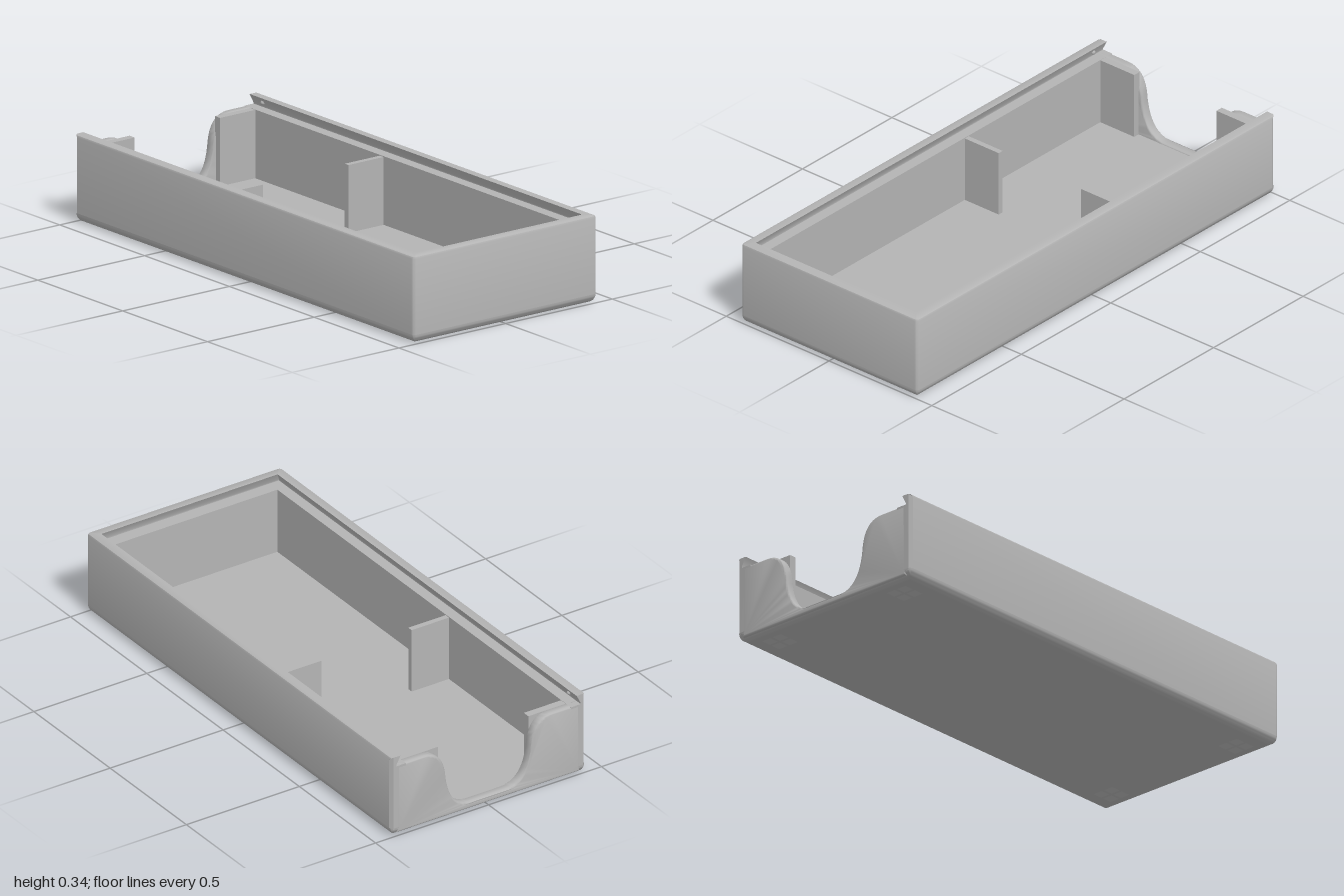
import * as THREE from 'three';
import { toCreasedNormals } from 'three/addons/utils/BufferGeometryUtils.js';

const W = 0.43, L = 1, R = 0.015;      // half width, half length, vertical corner radius
const FLOOR = 0.032, LEDGE = 0.295;    // tray floor, lid ledge
const FILLET = 0.035;                  // rounding of the bottom edge

// Rounded corner k (0..3: back left, front left, front right, back right) at inset d
function corner(k, d, y, extra = 0) {
  const sx = k < 2 ? 1 : -1, sz = k === 1 || k === 2 ? 1 : -1;
  const r = Math.max(0, R - d), pts = [];
  for (let i = 0; i <= 5; i++) {
    const a = (k - 1 + i / 5) * Math.PI / 2;
    pts.push([sx * (W - d - r) + r * Math.cos(a), y, sz * (L - d - extra - r) + r * Math.sin(a)]);
  }
  return pts;
}

// Skin over rows of points, with optional end caps given as index triples of rows
function skin(rows, closeRows, closePath, caps = []) {
  const n = rows[0].length, m = rows.length, index = [];
  for (let i = 0; i < (closeRows ? m : m - 1); i++)
    for (let j = 0; j < (closePath ? n : n - 1); j++) {
      const i2 = (i + 1) % m, j2 = (j + 1) % n;
      const a = i * n + j, b = i2 * n + j, c = i2 * n + j2, d = i * n + j2;
      index.push(a, b, c, a, c, d);
    }
  for (const [a, b, c] of caps) {
    index.push(a * n, b * n, c * n);
    index.push(c * n + n - 1, b * n + n - 1, a * n + n - 1);
  }
  const g = new THREE.BufferGeometry();
  g.setAttribute('position', new THREE.Float32BufferAttribute(rows.flat(2), 3));
  g.setIndex(index);
  return toCreasedNormals(g, 0.6);
}

export function createModel() {
  const model = new THREE.Group();
  const grey = new THREE.MeshStandardMaterial({ color: 0xb4b4b4, side: THREE.DoubleSide });
  grey.name = 'grey plastic';
  const add = (name, geometry, x = 0, y = 0, z = 0) => {
    const mesh = new THREE.Mesh(geometry, grey);
    mesh.name = name;
    mesh.position.set(x, y, z);
    model.add(mesh);
    return mesh;
  };
  const block = (name, x0, x1, y0, y1, z0, z1) =>
    add(name, new THREE.BoxGeometry(x1 - x0, y1 - y0, z1 - z0), (x0 + x1) / 2, (y0 + y1) / 2, (z0 + z1) / 2);

  // Rounded lower edge all the way round
  const baseRows = [];
  for (let i = 0; i <= 7; i++) {
    const a = i / 7 * Math.PI / 2;
    const d = FILLET * (1 - Math.sin(a)), y = FILLET * (1 - Math.cos(a));
    baseRows.push([0, 1, 2, 3].flatMap(k => corner(k, d, y)));
  }
  add('baseEdge', skin(baseRows, false, true));
  block('floor', -0.4, 0.4, FLOOR - 0.01, FLOOR, -0.97, 0.97);

  // Underside with four feet marks, each of 2 x 2 pyramid pockets
  const bw = W - FILLET, bl = L - FILLET, cell = 0.04, step = 0.026;
  const under = new THREE.Shape([[-bw, -bl], [bw, -bl], [bw, bl], [-bw, bl]].map(p => new THREE.Vector2(...p)));
  const pocket = new THREE.ConeGeometry(cell / Math.SQRT2, 0.012, 4, 1, true).toNonIndexed();
  pocket.rotateY(Math.PI / 4);
  pocket.computeVertexNormals();
  for (const sx of [-1, 1]) for (const sz of [-1, 1])
    for (const ix of [-1, 1]) for (const iz of [-1, 1]) {
      const x = sx * 0.31 + ix * step, z = sz * 0.9 + iz * step, h = cell / 2;
      under.holes.push(new THREE.Path([[x - h, z - h], [x - h, z + h], [x + h, z + h], [x + h, z - h]]
        .map(p => new THREE.Vector2(...p))));
      add('footPocket', pocket, x, 0.006, z);
    }
  add('underside', new THREE.ShapeGeometry(under).rotateX(Math.PI / 2));

  // Side and front walls with the undercut lid groove: inset, height, extra inset at the front
  const section = [
    [0, FILLET], [0, 0.325], [0.003, 0.332], [0.01, 0.335], [0.04, 0.335],
    [0.022, 0.3], [0.022, LEDGE], [0.065, LEDGE, 0.01], [0.065, 0.028, 0.01], [0.01, 0.028],
  ];
  const wallRows = section.map(([d, y, extra]) => {
    const r = Math.max(0, R - d);
    const zEnd = -L + R - Math.sqrt(R * R - r * r);
    return [[W - d, y, zEnd], ...corner(1, d, y, extra), ...corner(2, d, y, extra), [-W + d, y, zEnd]];
  });
  const caps = THREE.ShapeUtils.triangulateShape(section.map(([d, y]) => new THREE.Vector2(d, y)), []);
  add('sideAndFrontWalls', skin(wallRows, true, false, caps));

  // Back wall with a flared cable notch and softened edges
  const back = new THREE.Shape();
  back.moveTo(-0.405, 0.012);
  back.lineTo(0.405, 0.012);
  back.lineTo(0.405, LEDGE);
  back.lineTo(0.285, LEDGE);
  back.quadraticCurveTo(0.2, LEDGE, 0.188, 0.19);
  back.quadraticCurveTo(0.175, 0.04, 0.075, 0.038);
  back.lineTo(-0.075, 0.038);
  back.quadraticCurveTo(-0.175, 0.04, -0.188, 0.19);
  back.quadraticCurveTo(-0.2, LEDGE, -0.285, LEDGE);
  back.lineTo(-0.405, LEDGE);
  const bevel = 0.009;
  const backWall = new THREE.ExtrudeGeometry(back, {
    depth: 0.04 - 2 * bevel, curveSegments: 14, bevelEnabled: true,
    bevelSize: bevel, bevelThickness: bevel, bevelOffset: -bevel, bevelSegments: 4,
  });
  add('backWall', toCreasedNormals(backWall, 0.6), 0, 0, -L + bevel);

  // Mirrored inner parts: back wall thickening, dividers and lid catches
  for (const s of [-1, 1]) {
    const pair = (name, z0, z1, top) =>
      block(name, Math.min(s * 0.2, s * 0.38), Math.max(s * 0.2, s * 0.38), FLOOR - 0.004, top, z0, z1);
    pair('backRib', -0.965, -0.935, LEDGE - 0.001);
    pair('divider', -0.2, -0.178, LEDGE - 0.003);
    add('lidCatch', new THREE.SphereGeometry(0.009, 12, 8), s * 0.4, 0.315, -0.935);
  }
  return model;
}
